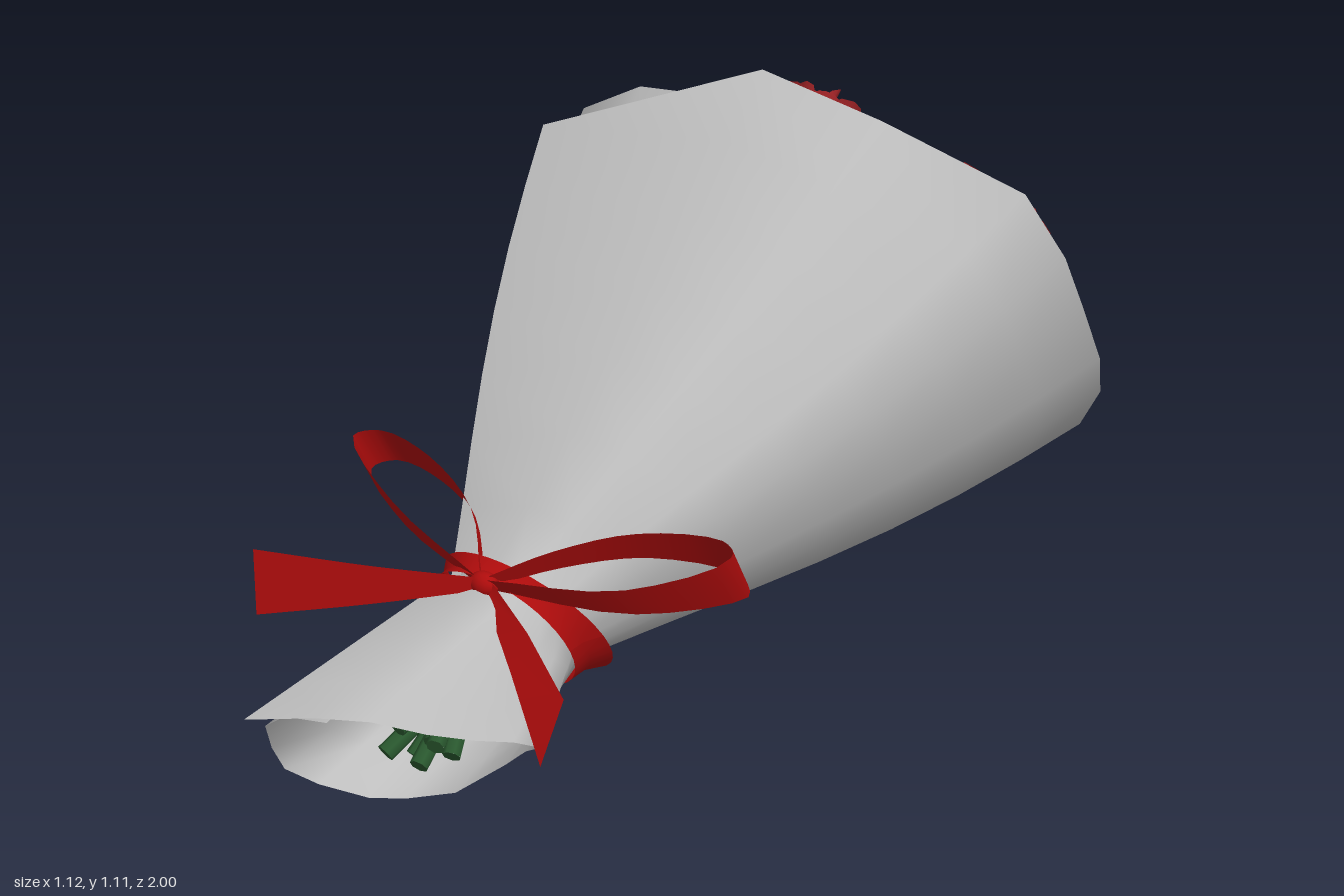
import * as THREE from 'three';
import { mergeGeometries } from 'three/addons/utils/BufferGeometryUtils.js';

const V = (x, y, z) => new THREE.Vector3(x, y, z);
const mat = (name, color, double = true) => {
  const m = new THREE.MeshStandardMaterial({ color });
  m.name = name;
  if (double) m.side = THREE.DoubleSide;
  return m;
};

let seed = 7;
const rnd = (a = 0, b = 1) => {
  seed = (seed * 16807) % 2147483647;
  return a + (b - a) * (seed / 2147483647);
};

// Smooth surface through a grid of points
function loft(rows) {
  const n = rows[0].length, pos = [], idx = [];
  rows.forEach(r => r.forEach(p => pos.push(p.x, p.y, p.z)));
  for (let i = 0; i < rows.length - 1; i++)
    for (let j = 0; j < n - 1; j++) {
      const a = i * n + j, b = a + n;
      idx.push(a, b, a + 1, a + 1, b, b + 1);
    }
  const g = new THREE.BufferGeometry();
  g.setAttribute('position', new THREE.Float32BufferAttribute(pos, 3));
  g.setIndex(idx);
  g.computeVertexNormals();
  return g;
}

// Paper edge at the flowers, from the outer flap edge round to the tucked-in end
const RIM = [
  [-0.36, 0.93, -0.19], [0.06, 1.11, -0.27], [0.26, 1.03, -0.35], [0.5, 0.91, -0.45], [0.55, 0.77, -0.52],
  [0.56, 0.65, -0.58], [0.55, 0.5, -0.68], [0.51, 0.38, -0.77], [0.42, 0.24, -0.87], [0.18, 0.05, -1],
  [-0.06, 0, -0.87], [-0.35, 0.02, -0.76], [-0.51, 0.12, -0.64], [-0.565, 0.35, -0.53], [-0.535, 0.63, -0.42],
  [-0.38, 0.9, -0.35], [-0.22, 1, -0.3], [-0.05, 1.03, -0.28]];
// Matching paper edge at the stem ends
const TAIL = [
  [-0.14, 0.35, 1], [-0.03, 0.365, 0.95], [0.04, 0.35, 0.89], [0.1, 0.31, 0.82], [0.14, 0.27, 0.74],
  [0.17, 0.24, 0.67], [0.19, 0.21, 0.62], [0.13, 0.16, 0.58], [0.08, 0.11, 0.57], [0, 0.045, 0.61],
  [-0.07, 0.035, 0.66], [-0.12, 0.04, 0.7], [-0.19, 0.07, 0.75], [-0.24, 0.1, 0.78], [-0.2, 0.2, 0.86],
  [-0.17, 0.28, 0.91], [-0.11, 0.33, 0.93], [-0.03, 0.34, 0.92]];

const neckPoint = (a, k = 1, dz = 0) =>
  V(-0.035 + 0.125 * k * Math.cos(a), 0.265 + 0.13 * k * Math.sin(a), 0.37 + 0.1 * Math.sin(a) + dz);

function wrapperGeometry() {
  const rows = RIM.map((r, i) => {
    const rim = V(...r), tail = V(...TAIL[i]);
    const a = Math.atan2(rim.y - 0.53, rim.x);
    const neck = neckPoint(a, 1.02 - 0.005 * i);
    const line = [];
    for (let k = 0; k < 4; k++) line.push(tail.clone().lerp(neck, k / 4));
    for (let k = 0; k <= 7; k++) {
      const s = k / 7, p = neck.clone().lerp(rim, s), bulge = Math.sin(Math.PI * s ** 1.2);
      p.x += 0.035 * bulge * Math.cos(a);
      p.y -= 0.025 * bulge * Math.max(0, -Math.sin(a));
      line.push(p);
    }
    return line;
  });
  return loft(rows);
}

// One deep cupped petal with a wavy, outward-rolled lip
function petal(R, h, a0, spread, lip) {
  const rows = [], wave = rnd(0, 6);
  for (let i = 0; i <= 6; i++) {
    const v = i / 6, row = [], roll = Math.max(0, v - 0.6) / 0.4;
    for (let j = 0; j <= 6; j++) {
      const u = j / 3 - 1, ripple = v * v * Math.sin(3.5 * u + wave);
      const r = R * (0.35 + 0.65 * Math.sin(Math.min(1, v * 1.7) * Math.PI / 2) + lip * roll * roll + 0.06 * u + 0.06 * ripple);
      const a = a0 + u * spread * (0.6 + 0.4 * Math.sin(v * Math.PI * 0.75));
      const y = h * (v * (1 - 0.14 * u ** 4) - lip * 0.55 * roll ** 3 + 0.02 * ripple);
      row.push(V(r * Math.cos(a), y, r * Math.sin(a)));
    }
    rows.push(row);
  }
  return loft(rows);
}

// Whorls of petals; open sets how far the outer ones unfold
function roseGeometry(R, open) {
  const parts = [];
  [2, 3, 4, 4, 5, 5].forEach((n, k) => {
    const f = (k + 1) / 6;
    for (let i = 0; i < n; i++)
      parts.push(petal(R * f * (0.95 - 0.5 * open), R * (1.75 - 0.05 * k + rnd(-0.13, 0.1)),
        k * 1.1 + (i + rnd(-0.15, 0.15)) * 2 * Math.PI / n, 1.25 * Math.PI / n + 0.12, 0.05 + open * f));
  });
  return mergeGeometries(parts);
}

// Pointed leaf folded along its midrib, growing along +y from its base
function leafGeometry(len, wid) {
  const rows = [];
  for (let i = 0; i <= 6; i++) {
    const t = i / 6, w = wid * Math.sin(Math.PI * t ** 0.8), z = -0.25 * len * t * t;
    rows.push([-1, -0.5, 0, 0.5, 1].map(u => V(u * w, len * t, z + 0.35 * w * Math.abs(u))));
  }
  return loft(rows);
}

// Band along a smoothed path of [x, y, z, half height], its upper edge leaning forward
function ribbonGeometry(pts, lean, steps = 24) {
  const path = new THREE.CatmullRomCurve3(pts.map(p => V(p[0], p[1], p[2])));
  const rows = [];
  for (let i = 0; i <= steps; i++) {
    const t = i / steps, f = t * (pts.length - 1), k = Math.min(pts.length - 2, Math.floor(f));
    const w = THREE.MathUtils.lerp(pts[k][3], pts[k + 1][3], f - k), c = path.getPoint(t);
    rows.push([c.clone().add(V(0, w, w * lean)), c.clone().sub(V(0, w, w * lean))]);
  }
  return loft(rows);
}

export function createModel() {
  const paper = mat('wrapping paper', 0xbdbdbd), red = mat('rose petals', 0x9a2124);
  const satin = mat('ribbon satin', 0xae0c0c), leafGreen = mat('leaf green', 0x2a5c30);
  const stemGreen = mat('stem green', 0x29572e, false);
  const model = new THREE.Group();
  model.name = 'bouquet';
  const add = (geo, m, name, parent = model) => {
    const mesh = new THREE.Mesh(geo, m);
    mesh.name = name;
    parent.add(mesh);
    return mesh;
  };

  add(wrapperGeometry(), paper, 'paperWrapper');

  // Flower heads: centre, radius, upward tilt, openness
  const up = V(0, 1, 0), neck = V(-0.03, 0.27, 0.37);
  const roses = [
    [0.03, 0.64, -0.53, 0.19, 0.45, 0.3], [0, 0.29, -0.79, 0.19, 0.05, 0.25], [0.37, 0.75, -0.55, 0.13, 0.15, 0.15],
    [0.05, 0.92, -0.45, 0.115, 0.2, 0.15], [-0.26, 0.78, -0.42, 0.14, 0.1, 0.2], [-0.35, 0.72, -0.68, 0.09, 0.1, 0.1],
    [-0.37, 0.42, -0.59, 0.14, 0, 0.2], [-0.33, 0.21, -0.75, 0.09, 0, 0.1], [0.28, 0.49, -0.81, 0.125, 0, 0.12],
    // foliage sprigs without a bloom
    [-0.1, 0.46, -0.46, 0, 0], [0.12, 0.46, -0.58, 0, 0], [-0.2, 0.5, -0.25, 0, 0],
    [-0.14, 0.8, -0.27, 0, 0], [0.15, 0.68, -0.32, 0, 0], [-0.02, 0.6, -0.3, 0, 0]];

  roses.forEach(([x, y, z, R, tilt, open], i) => {
    const p = V(x, y, z);
    const dir = p.clone().sub(neck).normalize().add(V(0, tilt, 0)).normalize();
    const base = p.clone().addScaledVector(dir, -0.95 * R);

    if (R) {
      const head = new THREE.Group();
      head.name = 'rose';
      head.position.copy(base);
      head.quaternion.setFromUnitVectors(up, dir);
      model.add(head);
      add(roseGeometry(R, open), red, 'petals', head);
      add(new THREE.SphereGeometry(R * 0.32, 10, 6), stemGreen, 'calyx', head);
      for (let k = 0; k < 5; k++) {
        const sepal = add(leafGeometry(R * 0.8, R * 0.16), leafGreen, 'sepal', head);
        sepal.rotation.set(1.3, k * 1.257, 0, 'YXZ');
      }
    }

    // Stem, squeezed together where the ribbon ties it
    const a = i * 2.4, q = 0.015 + 0.065 * ((i * 4) % 15) / 15;
    const tie = V(-0.035 + q * Math.cos(a), 0.265 + q * Math.sin(a), 0.37);
    const foot = V(-0.04 - 1.35 * q * Math.cos(a), 0.2 - 1.3 * q * Math.sin(a), 0.64 + rnd(-0.05, 0.05));
    const curve = new THREE.CatmullRomCurve3([foot, tie, tie.clone().lerp(base, 0.55), base]);
    add(new THREE.TubeGeometry(curve, 16, 0.017, 7), stemGreen, 'stem');
    const cap = add(new THREE.CircleGeometry(0.017, 7), stemGreen, 'stemEnd');
    cap.position.copy(foot);
    cap.quaternion.setFromUnitVectors(V(0, 0, 1), curve.getTangent(0).negate());

    // Leaves along the upper stem
    const spots = R ? [0.5, 0.6, 0.72, 0.84] : [0.5, 0.6, 0.68, 0.76, 0.84, 0.92, 1];
    spots.forEach((t, k) => {
      const leaf = add(leafGeometry(rnd(0.15, 0.2), rnd(0.045, 0.065)), leafGreen, 'leaf');
      leaf.position.copy(curve.getPoint(t));
      const b = i + k * 2.3, side = V(Math.cos(b), Math.sin(b), 0).multiplyScalar(t > 0.65 ? 0.8 : 0.3);
      leaf.quaternion.setFromUnitVectors(up, curve.getTangent(t).add(side).normalize());
      leaf.rotateY(rnd(0, 6));
    });
  });

  // Ribbon round the neck, widest underneath
  const band = [];
  for (let i = 0; i <= 36; i++) {
    const a = i / 36 * Math.PI * 2, w = 0.038 - 0.02 * Math.sin(a);
    band.push([neckPoint(a, 1.27, -w), neckPoint(a, 1.13, 0), neckPoint(a, 1.12, w)]);
  }
  add(loft(band), satin, 'ribbonBand');

  // Bow loops, loose ends and knot
  const K = [-0.02, 0.4, 0.49, 0.012];
  add(ribbonGeometry([K, [-0.12, 0.445, 0.37, 0.025], [-0.25, 0.475, 0.31, 0.035], [-0.36, 0.485, 0.3, 0.04],
    [-0.39, 0.48, 0.34, 0.045], [-0.25, 0.435, 0.42, 0.032], K], 0.55), satin, 'bowLoop');
  add(ribbonGeometry([K, [0.09, 0.45, 0.42, 0.022], [0.22, 0.485, 0.35, 0.032], [0.37, 0.49, 0.31, 0.045],
    [0.415, 0.485, 0.35, 0.052], [0.26, 0.435, 0.45, 0.032], K], 0.55), satin, 'bowLoop');
  add(ribbonGeometry([K, [-0.18, 0.4, 0.6, 0.038], [-0.34, 0.41, 0.715, 0.065]], 0, 10), satin, 'ribbonEnd');
  add(loft([[V(-0.02, 0.415, 0.48), V(-0.02, 0.385, 0.49)], [V(0.12, 0.38, 0.555), V(0.12, 0.325, 0.605)],
    [V(0.26, 0.345, 0.65), V(0.26, 0.25, 0.72)]]), satin, 'ribbonEnd');
  const knot = add(new THREE.SphereGeometry(0.026, 12, 8), satin, 'bowKnot');
  knot.position.set(-0.02, 0.398, 0.485);
  knot.scale.set(1.1, 0.9, 0.8);

  return model;
}
